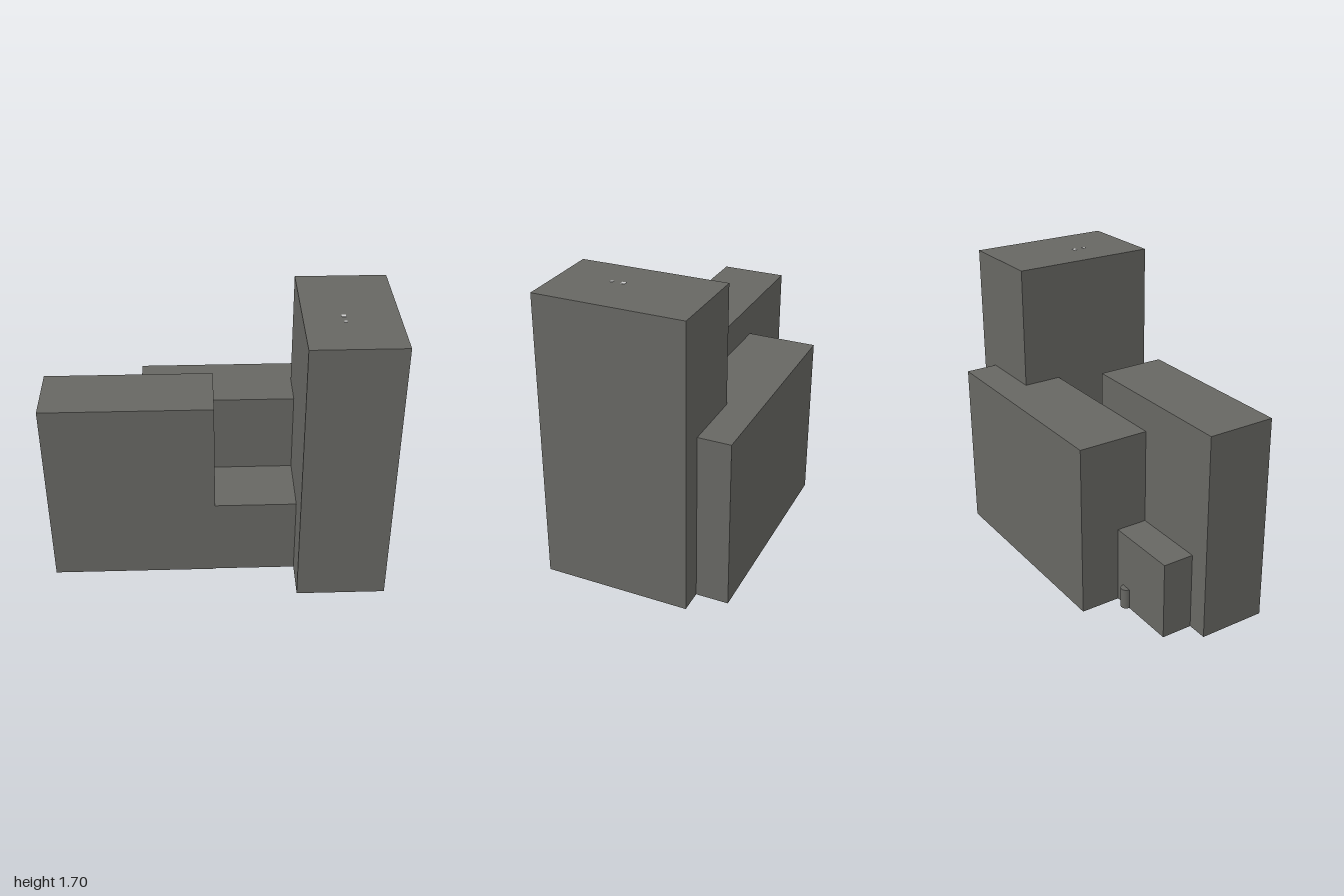
import * as THREE from 'three';

function material(name, color) {
  const m = new THREE.MeshStandardMaterial({ color });
  m.name = name;
  return m;
}

export function createModel() {
  const model = new THREE.Group();
  model.name = 'building';
  const concrete = material('concreteGrey', 0x676763);
  const pale = material('paleGrey', 0xcccccc);
  // Grey walls and roof, pale underside
  const faces = [concrete, concrete, concrete, pale, concrete, concrete];

  // The whole plan is turned about the vertical axis
  const plan = new THREE.Group();
  plan.name = 'turnedPlan';
  plan.rotation.y = -Math.atan2(0.575, 0.818);
  model.add(plan);

  function add(name, geometry, materials, x, y, z) {
    const mesh = new THREE.Mesh(geometry, materials);
    mesh.name = name;
    mesh.position.set(x, y, z);
    plan.add(mesh);
  }

  // Block standing on the ground between two plan corners
  function block(name, x0, x1, z0, z1, height) {
    const box = new THREE.BoxGeometry(x1 - x0, height, z1 - z0);
    add(name, box, faces, (x0 + x1) / 2, height / 2, (z0 + z1) / 2);
  }

  block('tower', 0.385, 0.917, -0.429, 0.423, 1.7);
  block('longWing', -1.091, -0.101, -0.204, 0.187, 1.19);
  block('lowLink', -0.101, 0.385, -0.204, 0.183, 0.5);
  block('backBlock', -0.536, 0.778, -0.618, -0.204, 1.0);
  block('annex', -0.973, -0.536, -0.385, -0.204, 0.45);

  // Short round post half set into the annex wall
  add('wallPost', new THREE.CylinderGeometry(0.031, 0.031, 0.12, 16), [concrete, concrete, pale],
    -0.618, 0.06, -0.386);

  // Small pale plates on the tower roof
  add('roofPlateLarge', new THREE.BoxGeometry(0.024, 0.004, 0.022), pale, 0.61, 1.7, 0.06);
  add('roofPlateSmall', new THREE.BoxGeometry(0.016, 0.004, 0.016), pale, 0.613, 1.7, 0.125);

  return model;
}
